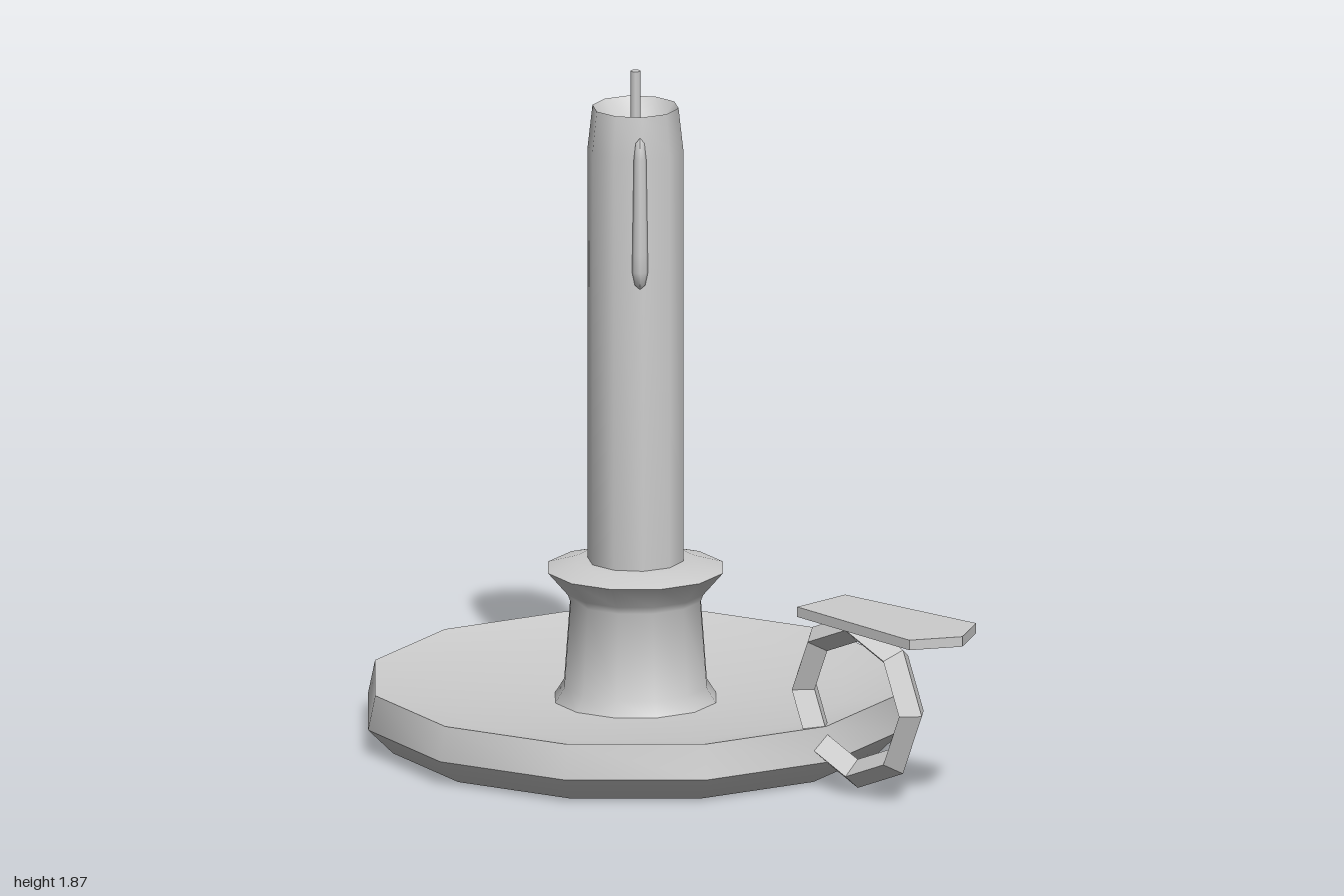
import * as THREE from 'three';
import { toCreasedNormals } from 'three/addons/utils/BufferGeometryUtils.js';

export function createModel() {
  const model = new THREE.Group();
  model.name = 'candleHolder';
  const grey = new THREE.MeshStandardMaterial({ color: 0xcccccc });
  grey.name = 'grey';

  const add = (name, geometry, x, y = 0, z = 0) => {
    const mesh = new THREE.Mesh(geometry, grey);
    mesh.name = name;
    mesh.position.set(x, y, z);
    model.add(mesh);
    return mesh;
  };

  // Turned part from [radius, height] pairs, listed from the bottom up the outside
  const turned = (profile, sides, crease = 0.9) => {
    const points = profile.map(([r, y]) => new THREE.Vector2(r, y));
    const lathe = new THREE.LatheGeometry(points, sides, Math.PI / 2);
    return toCreasedNormals(lathe, crease);
  };

  const axis = -0.25;

  // Shallow dish with a bevelled underside and dished top
  add('dish', turned([
    [0, 0], [0.68, 0], [0.75, 0.07], [0.73, 0.165], [0.58, 0.135], [0.2, 0.108], [0, 0.105],
  ], 12), axis);

  // Socket with flared foot and drip flange
  add('socket', turned([
    [0.228, 0.105], [0.2, 0.15], [0.182, 0.39], [0.19, 0.41], [0.245, 0.474], [0.165, 0.497], [0.1, 0.497],
  ], 12), axis);

  // Candle with a hollow melted top
  add('candle', turned([
    [0.131, 0.45], [0.131, 1.65], [0.118, 1.765], [0.08, 1.715], [0, 1.69],
  ], 10), axis);
  add('wick', new THREE.CylinderGeometry(0.014, 0.014, 0.19, 8), axis, 1.77);

  // Wax drips running down the candle
  const drip = (x, z, bottom, top) => {
    const h = top - bottom;
    add('waxDrip', turned([
      [0, 0], [0.014, 0.012], [0.022, 0.05], [0.021, 0.1], [0.017, h - 0.06], [0.012, h - 0.015], [0, h],
    ], 8, 1.1), axis + x, bottom, z);
  };
  drip(0.098, 0.081, 1.285, 1.71);
  drip(0.018, -0.122, 1.12, 1.705);

  // Finger ring with a diamond section
  const ring = toCreasedNormals(new THREE.TorusGeometry(0.205, 0.04, 4, 8), 0.3);
  add('fingerRing', ring, 0.6, 0.26).scale.z = 1.18;

  // Thumb plate, widening to a pointed end
  const outline = new THREE.Shape([
    [0.46, -0.092], [0.925, -0.128], [1, 0], [0.925, 0.128], [0.46, 0.092],
  ].map(([x, z]) => new THREE.Vector2(x, z)));
  const plate = new THREE.ExtrudeGeometry(outline, { depth: 0.028, bevelEnabled: false });
  plate.rotateX(-Math.PI / 2);
  add('thumbPlate', plate, 0, 0.485);

  return model;
}
